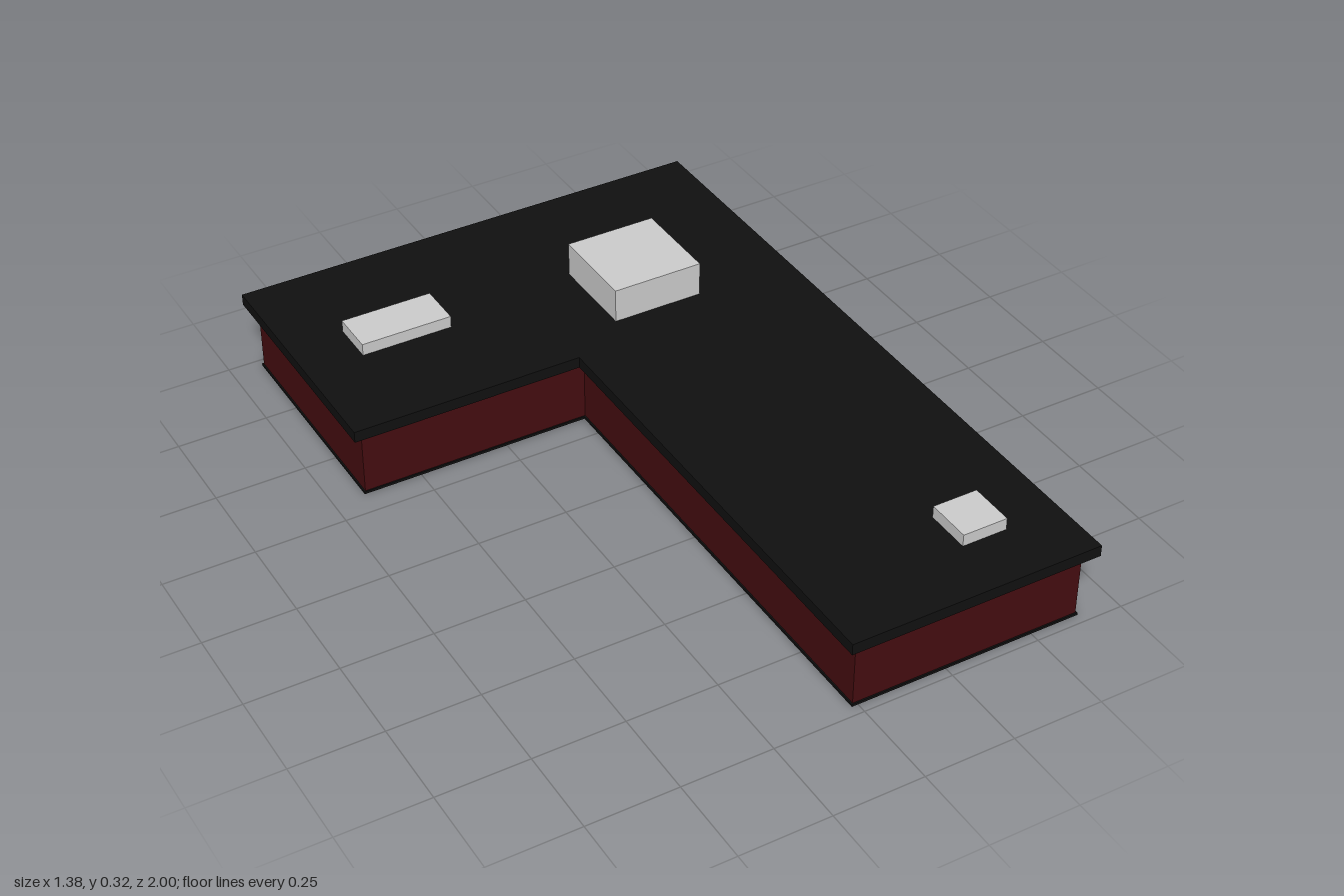
import * as THREE from 'three';

const mat = (color) => new THREE.MeshStandardMaterial({ color });

// Flat slab from plan points [x, z], between two heights
function slab(name, points, y0, y1, material) {
  const shape = new THREE.Shape(points.map(([x, z]) => new THREE.Vector2(x, -z)));
  const geometry = new THREE.ExtrudeGeometry(shape, { depth: y1 - y0, bevelEnabled: false });
  geometry.rotateX(-Math.PI / 2).translate(0, y0, 0);
  const mesh = new THREE.Mesh(geometry, material);
  mesh.name = name;
  return mesh;
}

// Box given by its limits on each axis
function block(name, [x0, x1], [y0, y1], [z0, z1], material) {
  const mesh = new THREE.Mesh(new THREE.BoxGeometry(x1 - x0, y1 - y0, z1 - z0), material);
  mesh.position.set((x0 + x1) / 2, (y0 + y1) / 2, (z0 + z1) / 2);
  mesh.name = name;
  return mesh;
}

// L-shaped plan, moved inward from the roof edge by d
const plan = (d) => [
  [-0.69 + d, -1 + d], [0.665 - d, -1 + d], [0.665 - d, 1 - d],
  [-0.045 + d, 1 - d], [-0.045 + d, -0.295 - d], [-0.69 + d, -0.295 - d],
];

export function createModel() {
  const model = new THREE.Group();
  model.name = 'building';
  const brick = mat(0x440d10);
  const black = mat(0x101010);
  const grey = mat(0xcccccc);

  // Main shell
  model.add(
    slab('walls', plan(0.031), 0, 0.2, brick),
    slab('baseTrim', plan(0.027), 0.001, 0.008, black),
    slab('roof', plan(0), 0.196, 0.228, black),
  );

  // Rooftop units
  model.add(
    block('largeRoofUnit', [0.118, 0.376], [0.226, 0.325], [-0.648, -0.39], grey),
    block('longRoofUnit', [-0.528, -0.271], [0.226, 0.262], [-0.71, -0.585], grey),
    block('smallRoofUnit', [0.376, 0.503], [0.226, 0.262], [0.709, 0.836], grey),
  );

  // Entrance: windows and door posts mirrored about the doorway
  const wallX = 0.634;
  const doorZ = 0.325;
  const entrance = new THREE.Group();
  entrance.name = 'entrance';
  for (const side of [-1, 1]) {
    const z = doorZ + side * 0.191;
    const span = [z - 0.085, z + 0.085];
    entrance.add(
      block('windowLowerPane', [wallX - 0.005, wallX + 0.003], [0.037, 0.0725], span, grey),
      block('windowUpperPane', [wallX - 0.005, wallX + 0.003], [0.0745, 0.108], span, grey),
      block('windowBar', [wallX - 0.005, wallX + 0.002], [0.0725, 0.0745], span, black),
    );
    const p = doorZ + side * 0.06;
    entrance.add(block('doorPost', [wallX - 0.004, wallX + 0.007], [0, 0.12], [p - 0.005, p + 0.005], black));
  }

  // Tapered canopy over the door
  entrance.add(slab('canopy', [
    [wallX - 0.004, doorZ - 0.1], [wallX + 0.008, doorZ - 0.1], [0.686, doorZ - 0.062],
    [0.686, doorZ + 0.062], [wallX + 0.008, doorZ + 0.1], [wallX - 0.004, doorZ + 0.1],
  ], 0.118, 0.13, black));
  model.add(entrance);

  return model;
}
